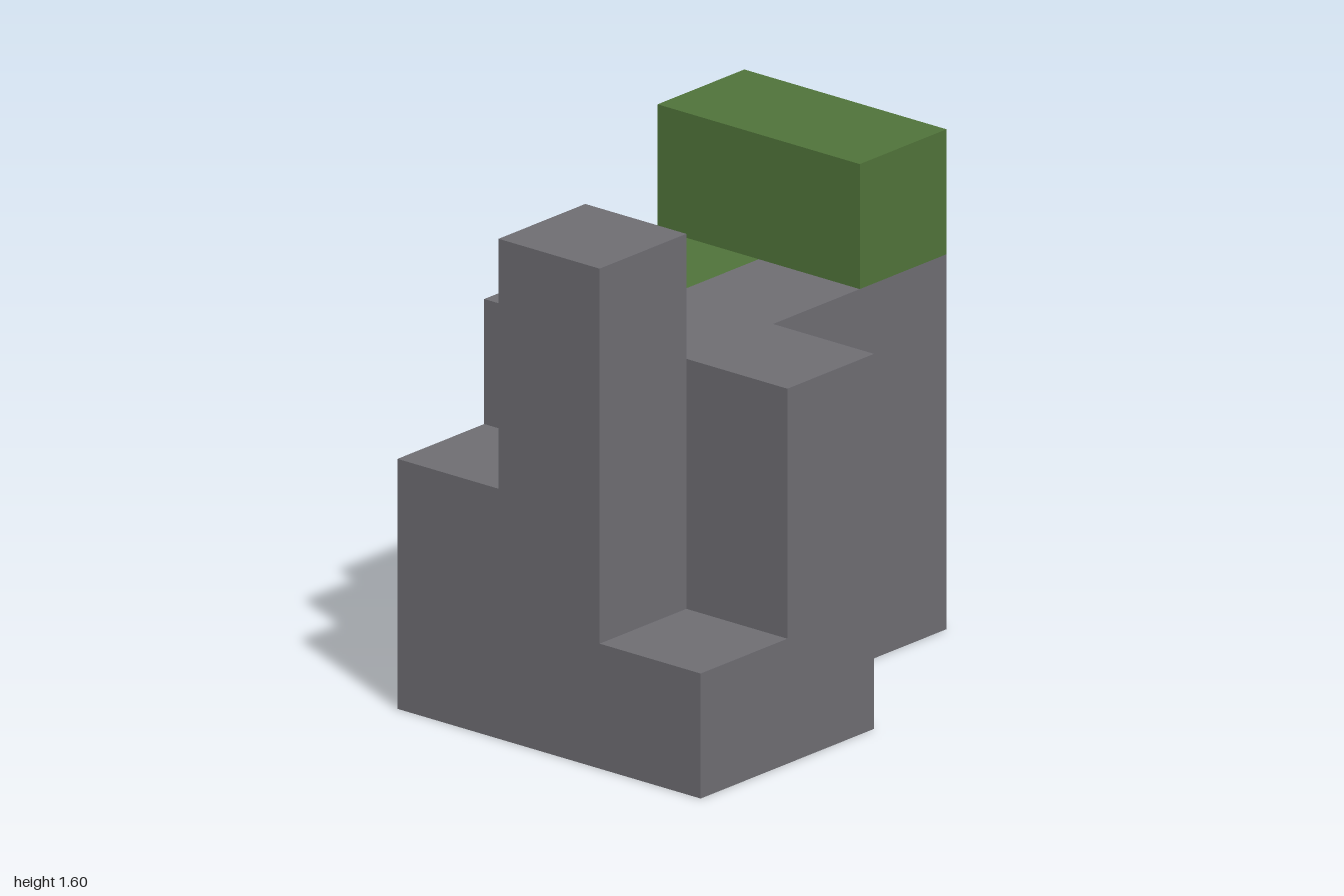
import * as THREE from 'three';

const CELL = 0.4;

export function createModel() {
  const model = new THREE.Group();
  model.name = 'blockyRock';

  const stone = new THREE.MeshStandardMaterial({ color: 0x6e6d72 });
  stone.name = 'stone grey';
  const moss = new THREE.MeshStandardMaterial({ color: 0x50733a });
  moss.name = 'moss green';

  // Box on a 5 x 4 x 3 cell grid: start cell (from left, ground, back) and size in cells
  const block = (name, material, [x, y, z], [w, h, d]) => {
    const mesh = new THREE.Mesh(new THREE.BoxGeometry(w * CELL, h * CELL, d * CELL), material);
    mesh.position.set((x + w / 2 - 2.5) * CELL, (y + h / 2) * CELL, (z + d / 2 - 1.5) * CELL);
    mesh.name = name;
    model.add(mesh);
  };

  // Stone body
  block('frontStep', stone, [0, 0, 2], [1, 1, 1]);
  block('tower', stone, [0, 0, 1], [1, 4, 1]);
  block('rearStep', stone, [0, 0, 0], [1, 2, 1]);
  block('mainWall', stone, [1, 0, 0], [1, 3, 3]);
  block('middleFront', stone, [2, 0, 1], [1, 3, 1]);
  block('middleRear', stone, [2, 0, 0], [1, 2, 1]);
  block('sideWall', stone, [3, 0, 0], [1, 3, 2]);
  block('cornerBase', stone, [4, 0, 0], [1, 1, 1]);

  // Moss blocks
  block('mossRidge', moss, [3, 3, 0], [1, 1, 2]);
  block('mossInset', moss, [2, 2, 0], [1, 1, 1]);
  block('mossCorner', moss, [4, 1, 0], [1, 2, 1]);

  return model;
}
